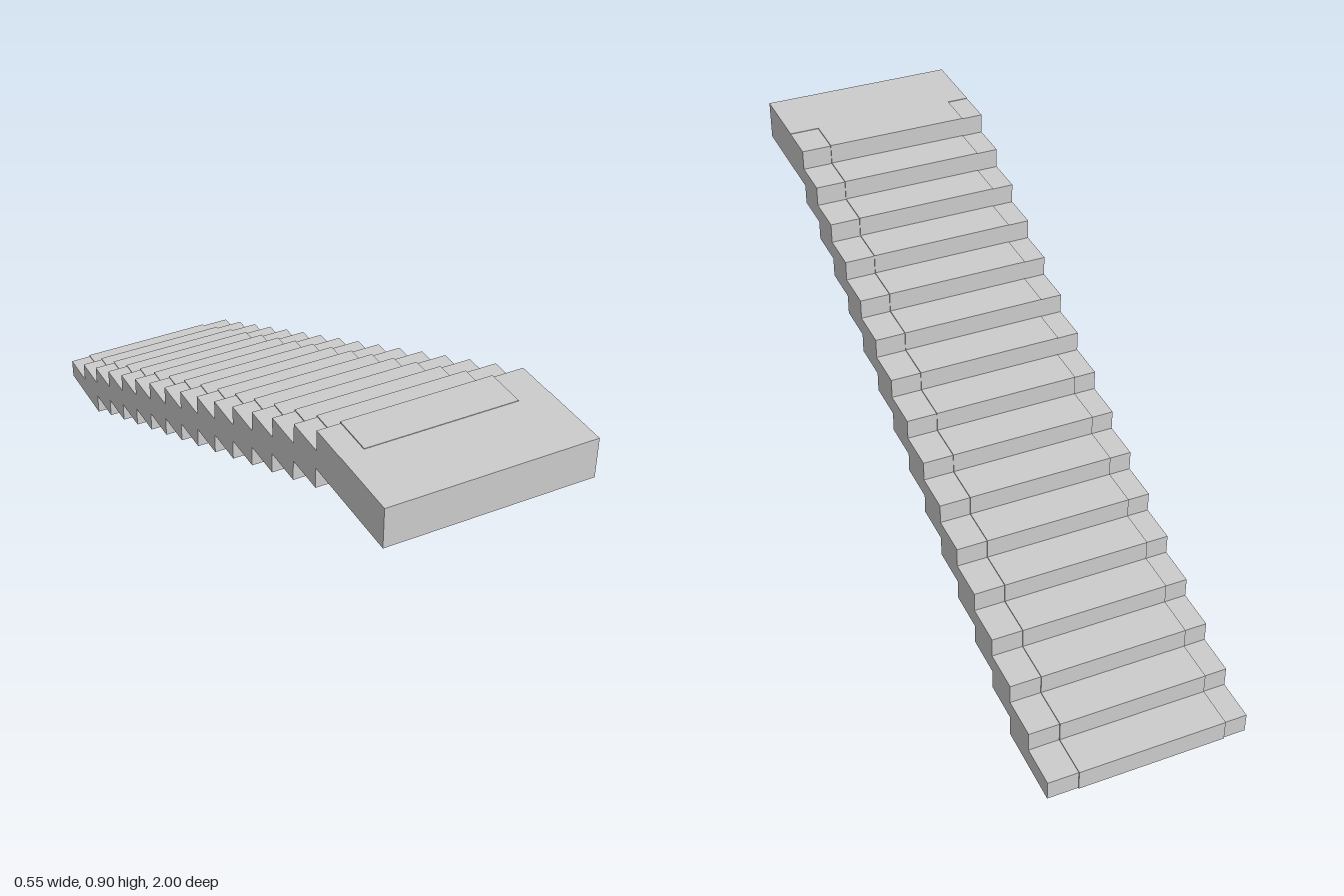
import * as THREE from 'three';

const STEPS = 16, RUN = 0.1125, RISE = 0.0561;
const LANDING_Z = 0.8, UNDER = 0.0036, HALF = 0.273;

// Stepped side profile (drawn as z, y) swept across x from x0 to x1
function flight(name, x0, x1, nose, top, material) {
  const pts = [];
  for (let k = 0; k < STEPS; k++) {
    const z = nose + k * RUN;
    pts.push([z, k ? top + (k - 1) * RISE : 0], [z, top + k * RISE]);
  }
  pts.push([LANDING_Z, top + (STEPS - 1) * RISE]);
  // underside, from the landing back down
  pts.push([LANDING_Z, UNDER + (STEPS - 2) * RISE]);
  for (let k = STEPS - 1; k >= 2; k--) {
    const z = -0.999 + k * RUN;
    pts.push([z, UNDER + (k - 1) * RISE], [z, k > 2 ? UNDER + (k - 2) * RISE : 0]);
  }
  const shape = new THREE.Shape(pts.map(([z, y]) => new THREE.Vector2(z, y)));
  const geo = new THREE.ExtrudeGeometry(shape, { depth: x1 - x0, bevelEnabled: false });
  geo.rotateY(-Math.PI / 2).translate(x1, 0, 0);
  const mesh = new THREE.Mesh(geo, material);
  mesh.name = name;
  return mesh;
}

export function createModel() {
  const group = new THREE.Group();
  group.name = 'staircase';
  const grey = new THREE.MeshStandardMaterial({ color: 0xcccccc, flatShading: true });

  // Middle treads stand slightly proud of the side strips
  group.add(flight('middleTreads', -0.212, 0.19, -1, 0.0585, grey));
  group.add(flight('rightStrip', -HALF, -0.212, -0.997, 0.0555, grey));
  group.add(flight('leftStrip', 0.19, HALF, -0.997, 0.0555, grey));

  // Upper landing
  const low = UNDER + (STEPS - 2) * RISE, high = 0.8985;
  const landing = new THREE.Mesh(new THREE.BoxGeometry(2 * HALF, high - low, 1 - LANDING_Z), grey);
  landing.geometry.translate(0, (low + high) / 2, (1 + LANDING_Z) / 2);
  landing.name = 'landing';
  group.add(landing);

  // The whole flight drifts slightly sideways along its length
  const slant = new THREE.Matrix4().makeShear(0, 0, 0, 0, -0.004, 0);
  group.children.forEach((m) => m.geometry.applyMatrix4(slant));
  return group;
}
